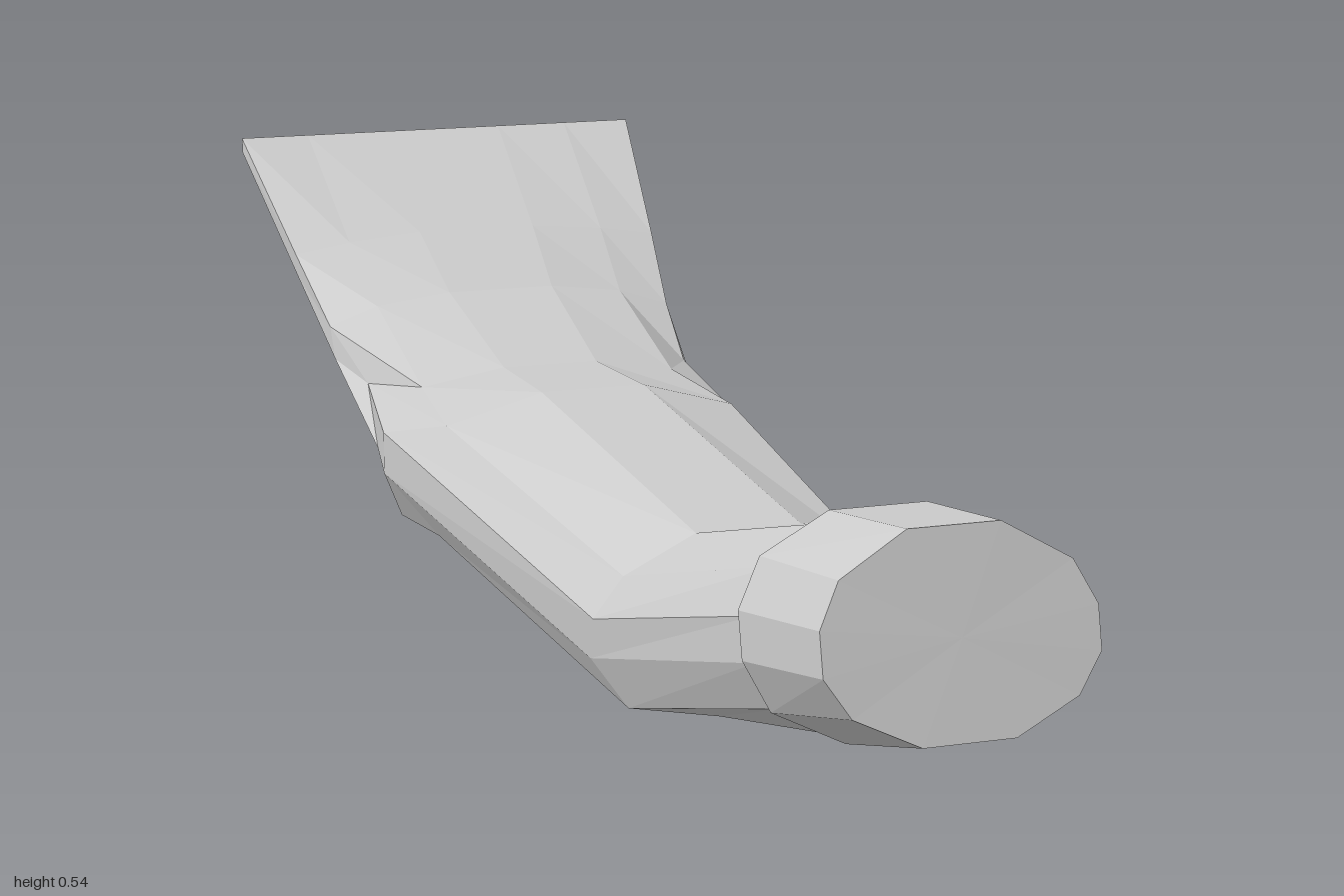
import * as THREE from 'three';

const material = new THREE.MeshStandardMaterial({ color: 0xcccccc, flatShading: true });

// Mirrors six [halfWidth, y, z] points (top to bottom) into a twelve-point ring about x = cx.
function ring(cx, half) {
  const right = half.map(([x, y, z]) => new THREE.Vector3(cx + x, y, z));
  const left = half.map(([x, y, z]) => new THREE.Vector3(cx - x, y, z)).reverse();
  return [...right, ...left];
}

// Skins a series of rings running from front to back and closes both ends.
function loft(name, rings) {
  const pos = [];
  const tri = (...pts) => pts.forEach((p) => pos.push(p.x, p.y, p.z));
  const n = rings[0].length;
  for (let i = 0; i < rings.length - 1; i++) {
    const a = rings[i], b = rings[i + 1];
    for (let j = 0; j < n; j++) {
      const k = (j + 1) % n;
      tri(a[j], a[k], b[j]);
      tri(a[k], b[k], b[j]);
    }
  }
  const middle = (r) => r.reduce((s, p) => s.add(p), new THREE.Vector3()).divideScalar(n);
  const first = rings[0], last = rings[rings.length - 1];
  const c0 = middle(first), c1 = middle(last);
  for (let j = 0; j < n; j++) {
    const k = (j + 1) % n;
    tri(c0, first[k], first[j]);
    tri(c1, last[j], last[k]);
  }
  const geometry = new THREE.BufferGeometry();
  geometry.setAttribute('position', new THREE.Float32BufferAttribute(pos, 3));
  geometry.computeVertexNormals();
  const mesh = new THREE.Mesh(geometry, material);
  mesh.name = name;
  return mesh;
}

export function createModel() {
  const group = new THREE.Group();
  group.name = 'curvedScoop';

  // Collar on the end of the handle
  const capFront = ring(0.037, [[0.055, 0.387, 0.945], [0.137, 0.34, 0.955], [0.163, 0.29, 0.968],
    [0.163, 0.24, 0.98], [0.133, 0.195, 0.99], [0.055, 0.158, 1]]);
  const capBack = ring(0.037, [[0.06, 0.355, 0.735], [0.147, 0.312, 0.745], [0.177, 0.255, 0.758],
    [0.177, 0.2, 0.772], [0.147, 0.14, 0.785], [0.06, 0.097, 0.795]]);
  group.add(loft('handleCap', [capFront, capBack]));

  // Handle: from inside the collar down to the bend
  const handleStart = ring(0.036, [[0.057, 0.347, 0.76], [0.137, 0.304, 0.765], [0.165, 0.252, 0.775],
    [0.165, 0.2, 0.785], [0.138, 0.145, 0.79], [0.056, 0.106, 0.8]]);
  const bend = ring(0.031, [[0.07, 0.225, 0.335], [0.165, 0.178, 0.335], [0.203, 0.125, 0.33],
    [0.2, 0.068, 0.31], [0.17, 0.018, 0.37], [0.055, 0, 0.385]]);

  // Swelling of the body ahead of the blade
  const shoulder = ring(0.013, [[0.075, 0.28, -0.24], [0.21, 0.24, -0.25], [0.262, 0.2, -0.4],
    [0.262, 0.14, -0.4], [0.215, 0.075, -0.28], [0.06, 0.06, -0.25]]);
  const heel = ring(0.012, [[0.07, 0.273, -0.44], [0.19, 0.25, -0.45], [0.245, 0.238, -0.55],
    [0.252, 0.16, -0.47], [0.218, 0.057, -0.47], [0.06, 0.05, -0.47]]);

  // Blade: widens and thins to a straight edge
  const bladeRoot = ring(0, [[0.08, 0.345, -0.65], [0.19, 0.33, -0.655], [0.264, 0.305, -0.65],
    [0.262, 0.26, -0.63], [0.205, 0.185, -0.65], [0.06, 0.172, -0.65]]);
  const bladeMiddle = ring(0, [[0.09, 0.415, -0.78], [0.2, 0.405, -0.78], [0.284, 0.392, -0.78],
    [0.282, 0.36, -0.78], [0.212, 0.285, -0.78], [0.065, 0.26, -0.78]]);
  const bladeEdge = ring(0, [[0.1, 0.538, -1], [0.21, 0.538, -1], [0.315, 0.538, -1],
    [0.315, 0.516, -0.997], [0.21, 0.522, -0.997], [0.08, 0.522, -0.997]]);

  group.add(loft('handleAndBlade',
    [handleStart, bend, shoulder, heel, bladeRoot, bladeMiddle, bladeEdge]));
  return group;
}
